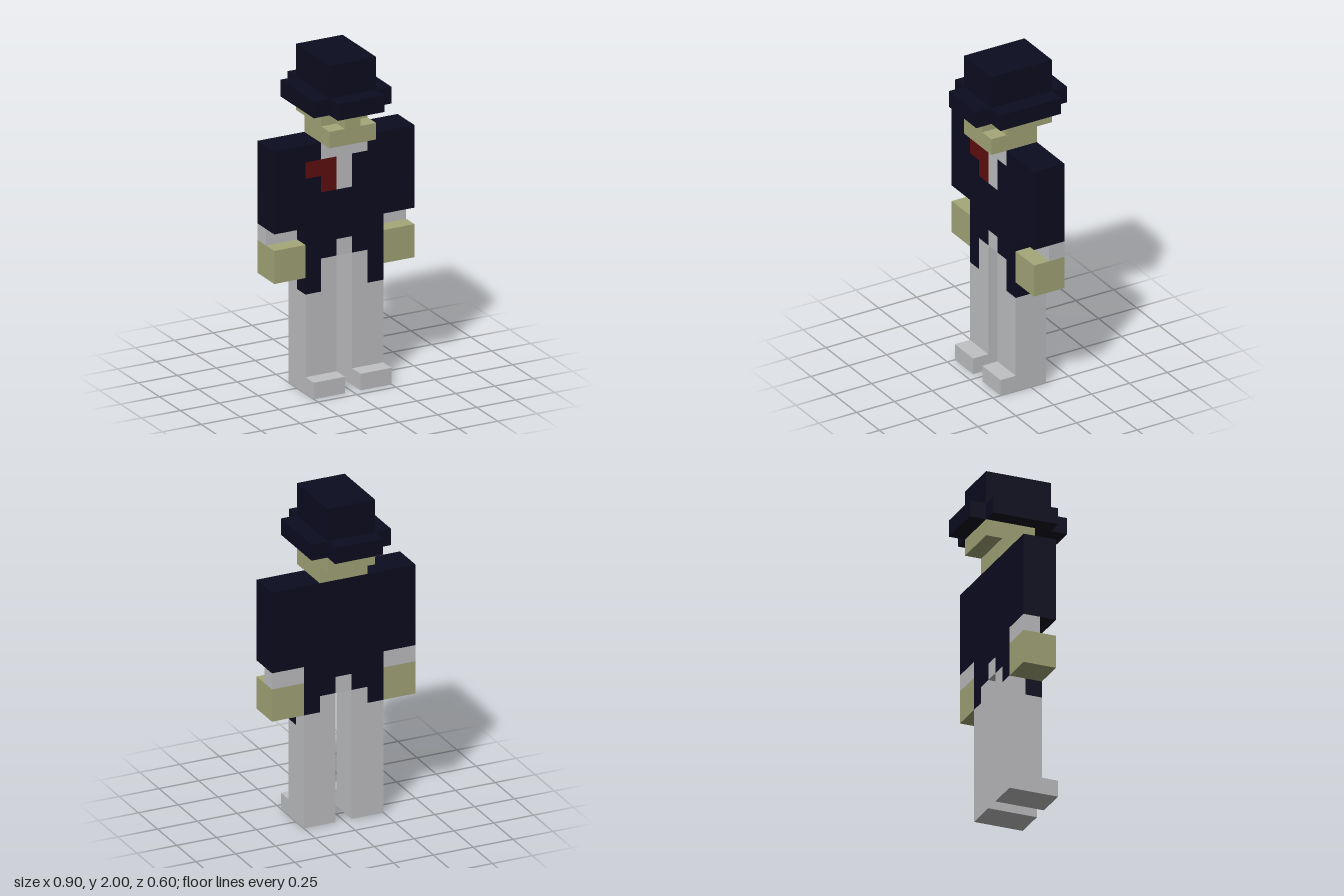
import * as THREE from 'three';

const mat = (name, color) => new THREE.MeshStandardMaterial({ name, color });

export function createModel() {
  const suit = mat('dark suit', 0x0c0c20);
  const skin = mat('skin', 0xa5a779);
  const cloth = mat('pale cloth', 0xc0c1c3);
  const red = mat('red handkerchief', 0x5f0f0f);

  const model = new THREE.Group();
  model.name = 'figure';

  const add = (parent, name, geometry, material) => {
    const mesh = new THREE.Mesh(geometry, material);
    mesh.name = name;
    parent.add(mesh);
    return mesh;
  };

  // Box given by its limits on each axis
  const box = (parent, name, material, [x0, x1], [y0, y1], [z0, z1]) => {
    const g = new THREE.BoxGeometry(x1 - x0, y1 - y0, z1 - z0);
    g.translate((x0 + x1) / 2, (y0 + y1) / 2, (z0 + z1) / 2);
    return add(parent, name, g, material);
  };

  // Outline in x and y, extruded from z0 to z1
  const slab = (parent, name, material, points, z0, z1) => {
    const shape = new THREE.Shape(points.map(([x, y]) => new THREE.Vector2(x, y)));
    const g = new THREE.ExtrudeGeometry(shape, { depth: z1 - z0, bevelEnabled: false });
    g.translate(0, 0, z0);
    return add(parent, name, g, material);
  };

  // Closes a half outline by mirroring it across x = 0
  const mirrored = (half) => [...half, ...half.map(([x, y]) => [-x, y]).reverse()];

  const group = (name) => {
    const g = new THREE.Group();
    g.name = name;
    model.add(g);
    return g;
  };

  // Hat: crown and cross-shaped brim
  const hat = group('hat');
  box(hat, 'crown', suit, [-0.15, 0.15], [1.8, 2], [-0.2, 0.2]);
  const brim = slab(hat, 'brim', suit,
    mirrored([[0.15, -0.3], [0.15, -0.2], [0.25, -0.2], [0.25, 0.2], [0.15, 0.2], [0.15, 0.3]]), 0, 0.1);
  brim.rotation.x = -Math.PI / 2;
  brim.position.y = 1.7;

  // Head: jaw, upper head with recessed eye sockets, nose
  const head = group('head');
  box(head, 'jaw', skin, [-0.15, 0.15], [1.5, 1.6], [-0.1, 0.2]);
  box(head, 'upperHead', skin, [-0.15, 0.15], [1.6, 1.7], [-0.2, 0.1]);
  box(head, 'nose', skin, [-0.05, 0.05], [1.6, 1.7], [0.1, 0.2]);

  // Torso: front layer with open collar, plain back layer
  const torso = group('torso');
  slab(torso, 'coatFront', suit, [
    [-0.25, 0.6], [-0.15, 0.6], [-0.15, 0.8], [-0.05, 0.8], [-0.05, 0.9],
    [0.05, 0.9], [0.05, 0.8], [0.15, 0.8], [0.15, 0.6], [0.25, 0.6],
    [0.25, 1.5], [0.15, 1.5], [0.15, 1.4], [0.05, 1.4], [0.05, 1.2],
    [-0.15, 1.2], [-0.15, 1.3], [-0.25, 1.3],
  ], 0, 0.1);
  box(torso, 'coatShoulder', suit, [-0.25, -0.15], [1.4, 1.5], [0, 0.1]);
  slab(torso, 'coatBack', suit,
    mirrored([[0.05, 0.9], [0.05, 0.8], [0.15, 0.8], [0.15, 0.7], [0.25, 0.7], [0.25, 1.5]]), -0.1, 0);
  slab(torso, 'shirt', cloth,
    mirrored([[0.05, 1.2], [0.05, 1.4], [0.15, 1.4], [0.15, 1.5]]), 0, 0.1);
  slab(torso, 'handkerchief', red,
    [[-0.25, 1.3], [-0.15, 1.3], [-0.15, 1.2], [-0.05, 1.2], [-0.05, 1.4], [-0.25, 1.4]], 0, 0.1);
  box(torso, 'trouserTop', cloth, [-0.05, 0.05], [0.8, 0.9], [-0.1, 0.1]);

  for (const [side, s] of [['left', 1], ['right', -1]]) {
    const span = (a, b) => (s > 0 ? [a, b] : [-b, -a]);

    // Arm: sleeve, narrow cuff set back, hand
    const arm = group(side + 'Arm');
    box(arm, 'sleeve', suit, span(0.25, 0.45), [1, 1.5], [-0.1, 0.1]);
    box(arm, 'cuff', cloth, span(0.25, 0.45), [0.9, 1], [-0.1, 0]);
    box(arm, 'hand', skin, span(0.25, 0.45), [0.7, 0.9], [-0.1, 0.1]);

    // Leg: front and back layers cut around the coat tails, foot
    const leg = group(side + 'Leg');
    const outline = (tail) =>
      [[0.05, 0], [0.25, 0], [0.25, tail], [0.15, tail], [0.15, 0.8], [0.05, 0.8]].map(([x, y]) => [s * x, y]);
    slab(leg, 'trouserFront', cloth, outline(0.6), 0, 0.1);
    slab(leg, 'trouserBack', cloth, outline(0.7), -0.1, 0);
    box(leg, 'foot', cloth, span(0.05, 0.25), [0, 0.1], [0.1, 0.2]);
  }

  return model;
}
